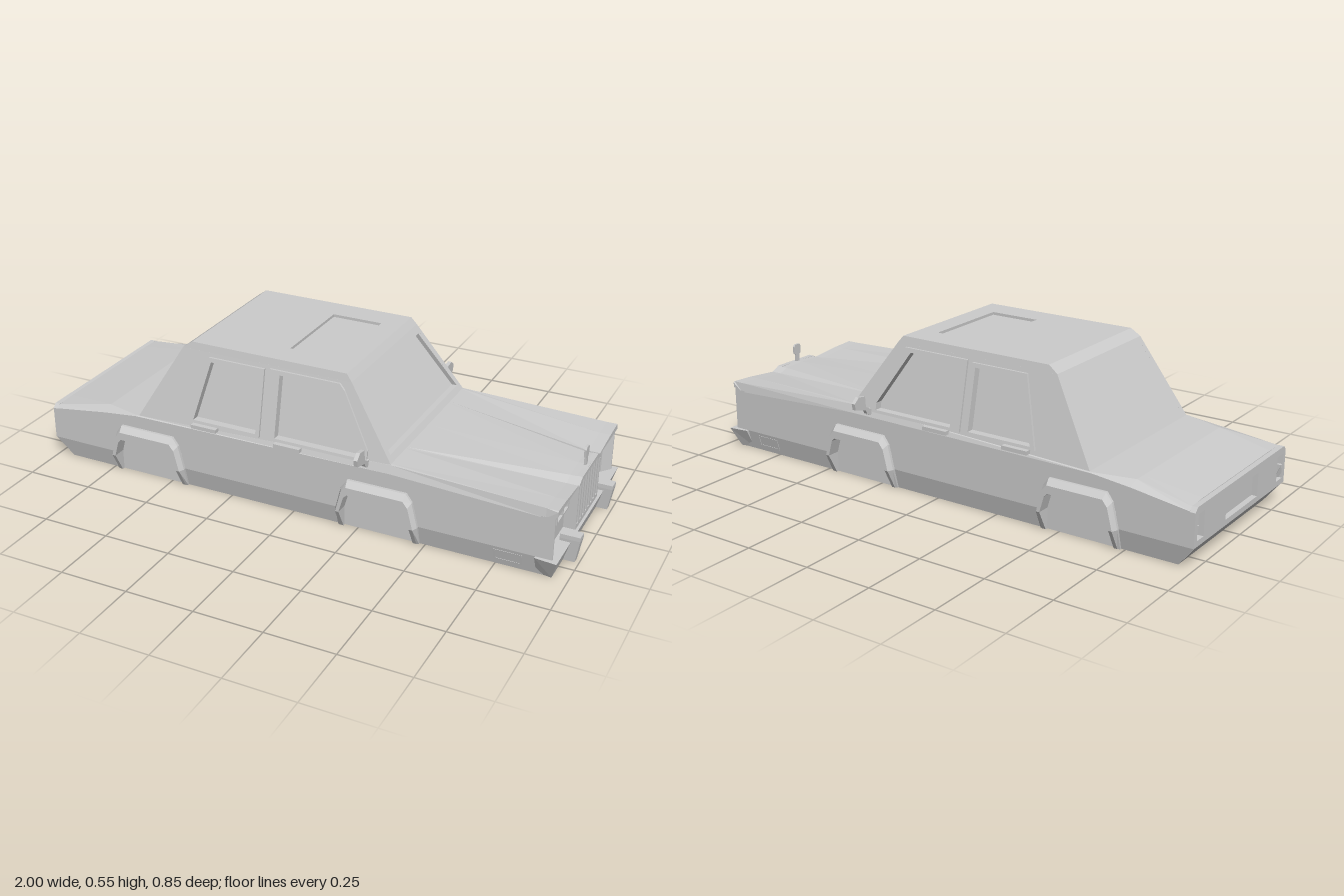
import * as THREE from 'three';

const material = new THREE.MeshStandardMaterial({ color: 0xcccccc, flatShading: true });

// Make the faces of a closed solid point outward and give it flat normals
function orient(geometry) {
  const a = geometry.attributes.position.array;
  let volume = 0;
  const p = [0, 1, 2].map(() => new THREE.Vector3());
  for (let i = 0; i < a.length; i += 9) {
    p.forEach((v, k) => v.fromArray(a, i + 3 * k));
    volume += p[0].dot(p[1].clone().cross(p[2]));
  }
  if (volume < 0) {
    for (let i = 0; i < a.length; i += 9) {
      for (let k = 3; k < 6; k++) [a[i + k], a[i + k + 3]] = [a[i + k + 3], a[i + k]];
    }
  }
  geometry.deleteAttribute('uv');
  geometry.computeVertexNormals();
  return geometry;
}

// Skin a row of equal-length loops; the ends are capped across the given axis
function loft(rings, axis) {
  const out = [], n = rings[0].length;
  for (let r = 0; r + 1 < rings.length; r++) {
    for (let i = 0; i < n; i++) {
      const j = (i + 1) % n, a = rings[r], b = rings[r + 1];
      out.push(...a[i], ...a[j], ...b[j], ...a[i], ...b[j], ...b[i]);
    }
  }
  const cap = (ring, flip) => {
    const flat = ring.map(q => new THREE.Vector2(...q.filter((_, k) => k !== axis)));
    const reversed = THREE.ShapeUtils.isClockWise(flat);
    for (const t of THREE.ShapeUtils.triangulateShape(flat, [])) {
      // the triangles follow the loop direction
      const order = reversed !== THREE.ShapeUtils.isClockWise(t.map(k => flat[k])) ? [t[0], t[2], t[1]] : t;
      (flip ? [order[0], order[2], order[1]] : order).forEach(k => out.push(...ring[k]));
    }
  };
  cap(rings[0], true);
  cap(rings[rings.length - 1], false);
  const g = new THREE.BufferGeometry();
  g.setAttribute('position', new THREE.Float32BufferAttribute(out, 3));
  return orient(g);
}

// Extrude an outline with holes, then place every point with map(u, v, depth)
function panel(outline, holes, depth, map) {
  const v2 = list => list.map(q => new THREE.Vector2(...q));
  const shape = new THREE.Shape(v2(outline));
  shape.holes = holes.map(h => new THREE.Path(v2(h)));
  const g = new THREE.ExtrudeGeometry(shape, { depth, bevelEnabled: false });
  const pos = g.attributes.position;
  for (let i = 0; i < pos.count; i++) pos.setXYZ(i, ...map(pos.getX(i), pos.getY(i), pos.getZ(i)));
  return orient(g);
}

const rect = (u0, u1, v0, v1) => [[u0, v0], [u1, v0], [u1, v1], [u0, v1]];
const mirrored = half => [...half, ...half.map(([u, v]) => [-u, v]).reverse()];
const box = (x0, x1, y0, y1, z0, z1) =>
  new THREE.BoxGeometry(x1 - x0, y1 - y0, z1 - z0).translate((x0 + x1) / 2, (y0 + y1) / 2, (z0 + z1) / 2);

export function createModel() {
  const car = new THREE.Group();
  car.name = 'car';
  const add = (name, geometry) => {
    const mesh = new THREE.Mesh(geometry, material);
    mesh.name = name;
    car.add(mesh);
  };
  const addPair = (name, geometry) => {
    const g = geometry.index ? geometry.toNonIndexed() : geometry;
    add(name + 'Near', g);
    add(name + 'Far', orient(g.clone().scale(1, 1, -1)));
  };

  // Upper body: boot, waist and hood with a raised centre, ending in an overhanging lip
  const section = (x, bottom, half) => {
    const pts = [...half, [0.34, bottom]];
    return [...pts, ...pts.slice(1).map(([z, y]) => [-z, y]).reverse()].map(([z, y]) => [x, y, z]);
  };
  const nose = [[0, 0.265], [0.09, 0.262], [0.125, 0.248], [0.25, 0.26], [0.335, 0.264]];
  add('upperBody', loft([
    section(-0.98, 0.14, [[0, 0.217], [0.1, 0.217], [0.15, 0.217], [0.25, 0.217], [0.325, 0.214], [0.34, 0.202]]),
    section(-0.77, 0.14, [[0, 0.245], [0.1, 0.245], [0.15, 0.245], [0.25, 0.245], [0.295, 0.245], [0.34, 0.232]]),
    section(-0.63, 0.14, [[0, 0.25], [0.1, 0.25], [0.15, 0.25], [0.25, 0.25], [0.335, 0.25], [0.34, 0.247]]),
    section(0.37, 0.14, [[0, 0.285], [0.19, 0.285], [0.2, 0.285], [0.32, 0.285], [0.33, 0.284], [0.34, 0.255]]),
    section(0.915, 0.14, [...nose, [0.34, 0.23]]),
    section(0.915, 0.226, [...nose, [0.34, 0.23]]),
    section(0.955, 0.243, [...nose, [0.34, 0.26]]),
  ], 0));

  // Lower core and floor
  const slab = (y, x0, x1, z) => [[x0, y, -z], [x1, y, -z], [x1, y, z], [x0, y, z]];
  add('lowerBody', loft([
    slab(0.005, -0.94, 0.915, 0.32), slab(0.08, -0.999, 0.915, 0.32),
    slab(0.08, -0.98, 0.915, 0.32), slab(0.15, -0.98, 0.915, 0.32),
  ], 1));

  // Flank panels between the wheel openings, tucked under at the sill
  for (const [x0, x1] of [[-0.999, -0.723], [-0.443, 0.188], [0.468, 0.915]]) {
    const ring = (x, low) => [[low, 0.005, 0.31], [low, 0.005, 0.32], [x, 0.08, 0.34], [x, 0.15, 0.34], [x, 0.15, 0.31]];
    addPair('flankPanel', loft([ring(x0, x0 < -0.9 ? -0.94 : x0), ring(x1, x1)], 0));
  }

  // Angular wheel arches
  const archOuter = [[-0.152, 0.005], [-0.152, 0.08], [-0.13, 0.17], [-0.108, 0.2]];
  const archInner = [[-0.13, 0.005], [-0.13, 0.08], [-0.113, 0.14], [-0.1, 0.152]];
  const bothEnds = list => [...list, ...list.map(([x, y]) => [-x, y]).reverse()];
  for (const [name, cx] of [['frontArch', 0.328], ['rearArch', -0.583]]) {
    const outer = bothEnds(archOuter), inner = bothEnds(archInner);
    addPair(name, loft(outer.map(([ox, oy], i) => {
      const [ix, iy] = inner[i], low = oy < 0.01;
      const mx = ox + (ix - ox) * 0.4, my = oy + (iy - oy) * 0.4;
      const front = low ? 0.33 : 0.37;
      return [[cx + ix, iy, 0.315], [cx + ix, iy, front], [cx + mx, my, front],
        [cx + ox, oy, low ? 0.326 : 0.35], [cx + ox, oy, 0.315]];
    }), 1));
  }

  // Cabin: inner glass block, with slanted pillars and frames in front of it
  add('glass', loft([slab(0.25, -0.62, 0.374, 0.315), slab(0.53, -0.455, 0.18, 0.255)], 1));
  const onSide = lift => (x, y, d) => [x, y, 0.335 - (y - 0.25) * 0.214 + lift - d];
  const rearWindow = [[-0.39, 0.285], [-0.14, 0.285], [-0.14, 0.5], [-0.335, 0.5]];
  const frontWindow = [[-0.065, 0.285], [0.26, 0.285], [0.26, 0.31], [0.135, 0.505], [-0.065, 0.505]];
  addPair('cabinSide', panel([[-0.62, 0.25], [0.394, 0.25], [0.37, 0.285], [0.2, 0.53], [-0.455, 0.53]],
    [rearWindow, frontWindow], 0.02, onSide(0)));
  addPair('rearWindowFrame', panel([[-0.41, 0.275], [-0.125, 0.275], [-0.125, 0.515], [-0.345, 0.515]],
    [rearWindow], 0.02, onSide(0.008)));
  addPair('frontWindowFrame', panel([[-0.105, 0.275], [0.285, 0.275], [0.285, 0.315], [0.18, 0.5], [0.16, 0.52], [-0.105, 0.52]],
    [frontWindow], 0.02, onSide(0.008)));
  add('windscreenFrame', panel(mirrored([[0.327, 0.285], [0.275, 0.53]]), [mirrored([[0.3, 0.305], [0.25, 0.505]])],
    0.02, (z, y, d) => [0.37 - (y - 0.285) * 0.694 - d, y, z]));

  // Roof with bevelled rim and sunken sunroof
  add('roof', panel(rect(-0.42, 0.18, -0.27, 0.27), [rect(-0.085, 0.105, -0.17, 0.17)], 0.025, (x, z, d) => {
    const rim = Math.abs(z) > 0.2 && d < 0.01;
    return [rim ? (x < 0 ? -0.455 : 0.2) : x, 0.53 + d, rim ? Math.sign(z) * 0.275 : z];
  }));
  add('sunroof', box(-0.09, 0.11, 0.525, 0.545, -0.175, 0.175));

  // Tail panel with recessed plate and tall tail lamps
  const lamp = rect(0.275, 0.322, 0.1, 0.19);
  add('tailPanel', panel(mirrored([[0.34, 0.08], [0.34, 0.2], [0.325, 0.215]]),
    [rect(-0.12, 0.12, 0.1, 0.185), lamp, lamp.map(([z, y]) => [-z, y])], 0.02, (z, y, d) => [-1 + d, y, z]));

  // Grille with upright slots
  const slots = [];
  for (let i = 0; i < 8; i++) {
    const z = (i - 3.5) * 0.0306, top = Math.abs(z) > 0.09 ? 0.24 : 0.25;
    slots.push(rect(z - 0.009, z + 0.009, 0.096, top));
  }
  add('grille', panel(mirrored([[0.125, 0.08], [0.125, 0.246], [0.09, 0.264]]), slots, 0.02, (z, y, d) => [0.938 + d, y, z]));
  add('grilleBack', box(0.9, 0.939, 0.08, 0.246, -0.125, 0.125));

  // Twin headlamps and flared front corners
  addPair('headlampFrame', panel(rect(0.127, 0.255, 0.16, 0.216),
    [rect(0.134, 0.187, 0.166, 0.21), rect(0.195, 0.248, 0.166, 0.21)], 0.02, (z, y, d) => [0.91 + d, y, z]));
  const corner = (x, z0, y0, y1) => [[x, y0, z0], [x, y0, 0.34], [x, y1, 0.34], [x, y1, z0]];
  addPair('frontCorner', loft([corner(0.9, 0.3, 0.08, 0.235), corner(0.92, 0.3, 0.08, 0.235), corner(0.948, 0.334, 0.08, 0.245)], 0));

  // Front bumper with two overriders
  const bumperRing = (y, x, z) => [[0.89, y, -z + 0.01], [x, y, -z], [x, y, z], [0.89, y, z - 0.01]];
  add('bumper', loft([bumperRing(0.005, 0.945, 0.325), bumperRing(0.08, 0.968, 0.36)], 1));
  const overrider = (y, x, w) => [[0.93, y, 0.19 - w], [x, y, 0.19 - w], [x, y, 0.19 + w], [0.93, y, 0.19 + w]];
  addPair('overrider', loft([overrider(0.005, 0.985, 0.013), overrider(0.09, 1, 0.02), overrider(0.105, 1, 0.02)], 1));

  // Side marker lamps on the front sill
  addPair('sideMarker', panel(rect(0.745, 0.845, 0.025, 0.068), [rect(0.752, 0.838, 0.03, 0.063)], 0.01,
    (x, y, d) => [x, y, 0.322 + (y - 0.005) * 0.267 - d]));

  // Door handles
  for (const x of [-0.39, -0.06]) addPair('doorHandle', box(x, x + 0.1, 0.26, 0.274, 0.325, 0.354));

  // Door mirrors
  addPair('doorMirror', panel([[0.325, 0.262], [0.345, 0.264], [0.36, 0.272], [0.345, 0.286], [0.325, 0.286]], [], 0.012,
    (z, y, d) => [0.28 + d, y, z]));
  addPair('doorMirrorHead', panel([[0.335, 0.268], [0.358, 0.271], [0.367, 0.288], [0.42, 0.302], [0.425, 0.326],
    [0.402, 0.345], [0.368, 0.34], [0.365, 0.3], [0.335, 0.284]], [], 0.014, (z, y, d) => [0.279 + d, y, z]));

  // Plain hood ornament
  add('hoodOrnament', panel(mirrored([[0.009, 0.258], [0.009, 0.293], [0.017, 0.297], [0.018, 0.325], [0.011, 0.334]]),
    [], 0.008, (z, y, d) => [0.936 + d, y, z]));

  return car;
}
